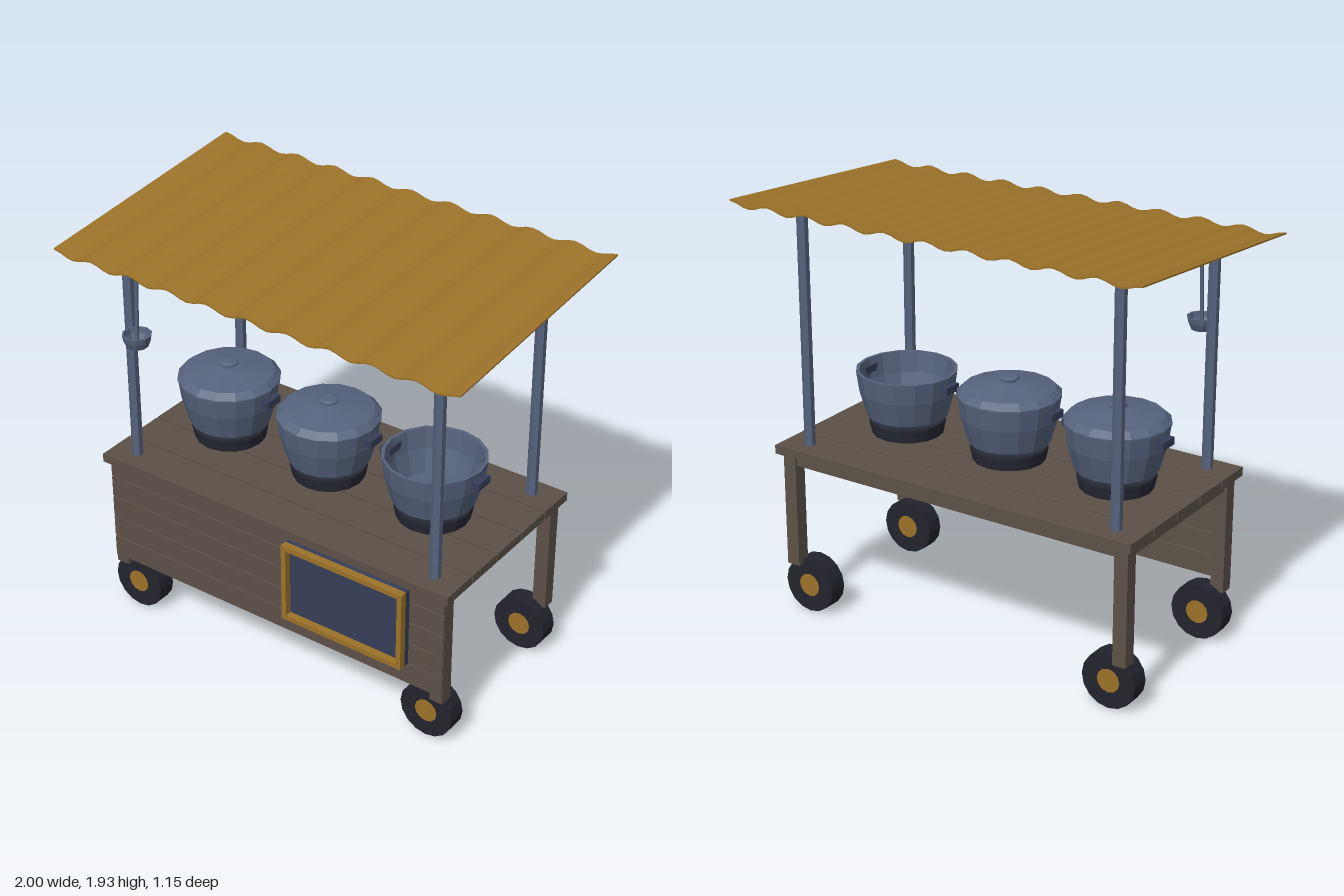
import * as THREE from 'three';

const material = (name, color) => {
  const m = new THREE.MeshStandardMaterial({ color });
  m.name = name;
  return m;
};

// Faceted look: every face gets its own normal
const flat = (geometry) => {
  const g = geometry.index ? geometry.toNonIndexed() : geometry;
  g.computeVertexNormals();
  return g;
};

const lathe = (points, sides) =>
  flat(new THREE.LatheGeometry(points.map(([r, y]) => new THREE.Vector2(r, y)), sides));

export function createModel() {
  const wood = material('wood', 0x5c5148);
  const ochre = material('ochre', 0x9c7329);
  const steel = material('steel', 0x56637d);
  const slate = material('slate', 0x353e58);
  const iron = material('dark iron', 0x272935);
  const rubber = material('rubber', 0x23232e);

  const model = new THREE.Group();
  model.name = 'foodCart';

  const add = (name, geometry, mat, x = 0, y = 0, z = 0, parent = model) => {
    const mesh = new THREE.Mesh(geometry, mat);
    mesh.name = name;
    mesh.position.set(x, y, z);
    parent.add(mesh);
    return mesh;
  };
  // Box given by its lower and upper limits
  const box = (name, mat, [x0, x1], [y0, y1], [z0, z1], parent = model) =>
    add(name, new THREE.BoxGeometry(x1 - x0, y1 - y0, z1 - z0), mat,
      (x0 + x1) / 2, (y0 + y1) / 2, (z0 + z1) / 2, parent);

  // Table top planks
  for (let i = -2; i <= 2; i++) {
    const z = i * 0.188;
    box('tablePlank', wood, [-0.905, 0.905], [0.76, 0.8], [z - 0.09, z + 0.09]);
  }

  // Rails under the table top
  for (const s of [-1, 1]) {
    add('sideRail', new THREE.BoxGeometry(0.04, 0.052, 0.86), wood, s * 0.848, 0.735, 0);
    add('longRail', new THREE.BoxGeometry(1.72, 0.052, 0.04), wood, 0, 0.735, s * 0.409);
  }

  // Front boards, with gaps between them
  for (let i = 0; i < 5; i++) {
    const y = 0.264 + i * 0.106;
    box('frontBoard', wood, [-0.878, 0.878], [y, Math.min(y + 0.098, 0.762)], [0.43, 0.446]);
  }

  // Legs, wheels and roof poles at the four corners
  const tyre = flat(new THREE.CylinderGeometry(0.128, 0.128, 0.086, 16).rotateX(Math.PI / 2));
  const hub = flat(new THREE.CylinderGeometry(0.054, 0.054, 0.09, 12).rotateX(Math.PI / 2));
  for (const sx of [-1, 1]) {
    for (const sz of [-1, 1]) {
      add('leg', new THREE.BoxGeometry(0.064, 0.535, 0.062), wood, sx * 0.848, 0.4925, sz * 0.409);
      const wheel = new THREE.Group();
      wheel.name = 'wheel';
      wheel.position.set(sx * 0.783, 0.13, sz * 0.37);
      add('tyre', tyre, rubber, 0, 0, 0, wheel);
      add('hub', hub, ochre, 0, 0, 0, wheel);
      model.add(wheel);
      const top = sz > 0 ? 1.825 : 1.888;
      const pole = flat(new THREE.CylinderGeometry(0.025, 0.025, top - 0.78, 6));
      add('roofPole', pole, steel, sx * 0.783, (top + 0.78) / 2, sz * 0.373);
    }
  }

  // Menu board with a raised frame
  const sign = new THREE.Group();
  sign.name = 'menuBoard';
  model.add(sign);
  const [l, r, b, t, w] = [0.1, 0.71, 0.368, 0.747, 0.023];
  box('boardPanel', slate, [l, r], [b, t], [0.446, 0.472], sign);
  const frame = [0.472, 0.505];
  box('frameLeft', ochre, [l, l + w], [b, t], frame, sign);
  box('frameRight', ochre, [r - w, r], [b, t], frame, sign);
  box('frameBottom', ochre, [l + w, r - w], [b, b + w], frame, sign);
  box('frameTop', ochre, [l + w, r - w], [t - w, t], frame, sign);

  // Pots on burners; the last one is open
  const burner = lathe([[0, 0.8], [0.16, 0.8], [0.172, 0.855], [0.172, 0.866], [0, 0.866]], 16);
  const pot = lathe([
    [0, 0.872], [0.165, 0.872], [0.18, 0.885], [0.213, 1.0], [0.226, 1.095],
    [0.212, 1.095], [0.2, 1.0], [0.168, 0.895], [0, 0.895],
  ], 16);
  const lid = lathe([[0, 1.093], [0.229, 1.093], [0.229, 1.1], [0.2, 1.126], [0.055, 1.152], [0, 1.152]], 16);
  const knob = lathe([[0.03, 1.145], [0.03, 1.155], [0.042, 1.162], [0.042, 1.17], [0.03, 1.176], [0, 1.176]], 12);
  [-0.556, -0.016, 0.526].forEach((x, i) => {
    const group = new THREE.Group();
    group.name = 'cookingPot';
    group.position.x = x;
    model.add(group);
    add('burner', burner, iron, 0, 0, 0, group);
    add('potBody', pot, steel, 0, 0, 0, group);
    for (const s of [-1, 1]) {
      add('potHandle', new THREE.BoxGeometry(0.05, 0.034, 0.088), slate, s * 0.222, 1.046, 0, group);
    }
    if (i < 2) {
      add('lid', lid, steel, 0, 0, 0, group);
      add('lidKnob', knob, steel, 0, 0, 0, group);
    }
  });

  // Ladle hanging from the roof edge
  const ladle = new THREE.Group();
  ladle.name = 'ladle';
  model.add(ladle);
  const cup = lathe([
    [0, 1.4], [0.047, 1.4], [0.06, 1.43], [0.065, 1.457],
    [0.057, 1.457], [0.052, 1.432], [0.04, 1.41], [0, 1.41],
  ], 10);
  add('ladleCup', cup, steel, -0.703, 0, 0.426, ladle);
  const path = new THREE.CatmullRomCurve3([
    [-0.703, 1.41, 0.428], [-0.698, 1.6, 0.424], [-0.693, 1.75, 0.42], [-0.692, 1.79, 0.408], [-0.692, 1.822, 0.384],
  ].map((p) => new THREE.Vector3(...p)));
  add('ladleHandle', flat(new THREE.TubeGeometry(path, 14, 0.009, 6)), steel, 0, 0, 0, ladle);

  // Corrugated roof: a wavy strip extruded along z, then sheared to slope forward
  const steps = 60;
  const wave = (i) => 0.0115 * Math.cos((i / steps) * 20 * Math.PI);
  const strip = new THREE.Shape();
  strip.moveTo(-1, wave(0) - 0.0035);
  for (let i = 1; i <= steps; i++) strip.lineTo(-1 + (2 * i) / steps, wave(i) - 0.0035);
  for (let i = steps; i >= 0; i--) strip.lineTo(-1 + (2 * i) / steps, wave(i) + 0.0035);
  const roof = new THREE.ExtrudeGeometry(strip, { depth: 1.154, bevelEnabled: false });
  roof.translate(0, 0, -0.577);
  const p = roof.attributes.position;
  for (let i = 0; i < p.count; i++) p.setY(i, p.getY(i) + 1.866 - 0.0825 * p.getZ(i));
  add('corrugatedRoof', flat(roof), ochre);

  return model;
}
